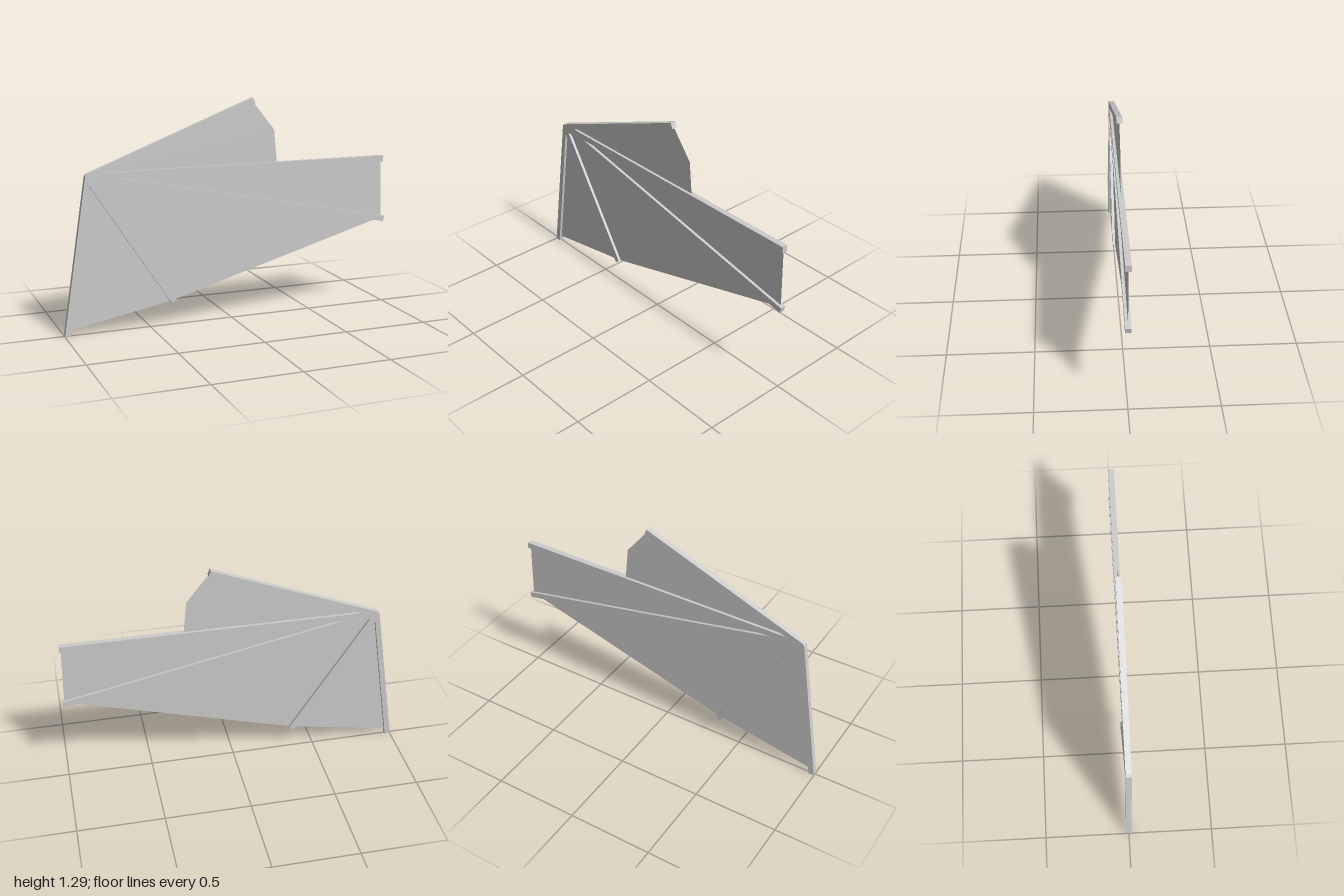
import * as THREE from 'three';

const shapeOf = (points) => new THREE.Shape(points.map(([x, y]) => new THREE.Vector2(x, y)));

export function createModel() {
  const group = new THREE.Group();
  group.name = 'wing';
  const depth = 0.033;

  // Five square bones fanning out of one joint, as a single outline
  const bones = shapeOf([
    [-0.862, 0.9], [-0.848, 0.912],
    [0.127, 1.293], [0.14, 1.26], [-0.75, 0.914],      // top bone
    [0.98, 0.914], [0.98, 0.878], [-0.66, 0.878],      // level bone
    [0.998, 0.54], [0.991, 0.507], [-0.81, 0.87],      // long bone
    [-0.345, 0.15], [-0.374, 0.13], [-0.84, 0.845],    // short bone
    [-0.967, 0.002], [-1, 0.007],                      // front bone
  ]);
  const boneGeometry = new THREE.ExtrudeGeometry(bones, { depth, bevelEnabled: false });
  boneGeometry.translate(0, 0, -depth / 2);
  const frame = new THREE.Mesh(boneGeometry,
    new THREE.MeshStandardMaterial({ color: 0xcccccc, flatShading: true }));
  frame.name = 'wingBones';
  group.add(frame);

  // Thin skin stretched between neighbouring bones
  const joint = [-0.84, 0.89];
  const skinMaterial = new THREE.MeshStandardMaterial({ color: 0xcccccc, side: THREE.DoubleSide });
  const panels = {
    topSkin: [[0.285, 0.896], [0.265, 1.103], [0.135, 1.265]],
    outerSkin: [[0.982, 0.53], [0.972, 0.896]],
    middleSkin: [[-0.36, 0.146], [0.96, 0.525]],
    frontSkin: [[-0.975, 0.03], [-0.36, 0.146]],
  };
  for (const [name, edge] of Object.entries(panels)) {
    const skin = new THREE.Mesh(new THREE.ShapeGeometry(shapeOf([joint, ...edge])), skinMaterial);
    skin.name = name;
    group.add(skin);
  }
  return group;
}
